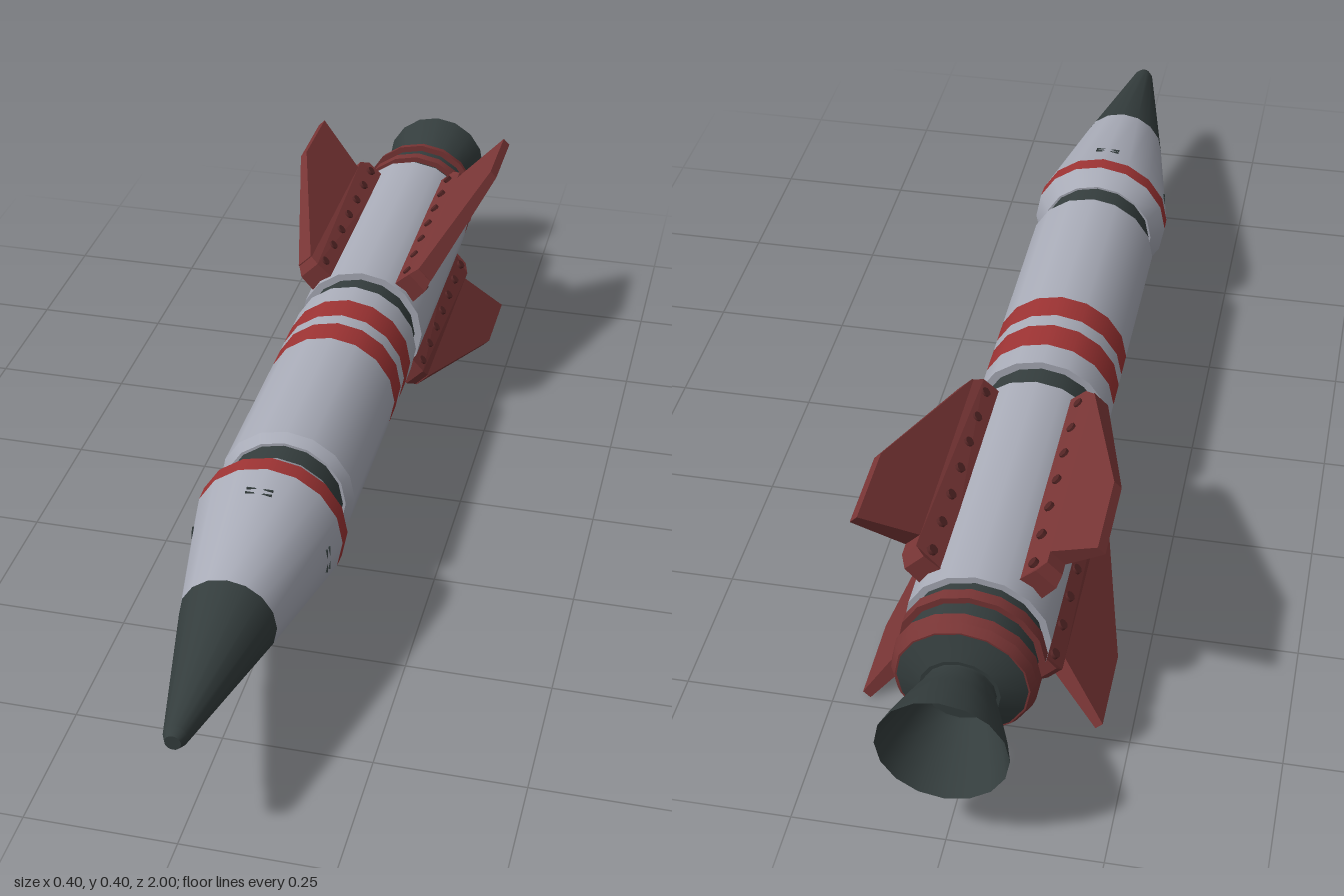
import * as THREE from 'three';

const paint = (name, color) => Object.assign(new THREE.MeshStandardMaterial({ color }), { name });

export function createModel() {
  const white = paint('paleGrey', 0xa9acb8);
  const dark = paint('charcoal', 0x343d3d);
  const red = paint('stripeRed', 0x9c3333);
  const maroon = paint('finMaroon', 0x783535);
  const bolt = paint('boltMaroon', 0x542525);
  const darkOpen = paint('nozzleCharcoal', 0x343d3d);
  darkOpen.side = THREE.DoubleSide;

  const model = new THREE.Group();
  model.name = 'rocket';
  const add = (parent, name, geo, mat) => {
    const m = new THREE.Mesh(geo, mat);
    m.name = name;
    parent.add(m);
    return m;
  };
  const rocket = new THREE.Group();
  rocket.name = 'rocketAssembly';
  rocket.position.y = 0.2015;
  model.add(rocket);

  // Body sections along z: name, front z, front radius, back z, back radius, material
  const sections = [
    ['noseTip', 1, 0.013, 0.985, 0.02, dark],
    ['noseCone', 0.985, 0.02, 0.7, 0.081, dark],
    ['noseShroud', 0.7, 0.081, 0.452, 0.129, white],
    ['noseStripe', 0.452, 0.129, 0.42, 0.13, red],
    ['shroudTaper', 0.42, 0.13, 0.385, 0.107, white],
    ['frontNeck', 0.385, 0.103, 0.34, 0.103, dark],
    ['bodyShoulder', 0.34, 0.108, 0.322, 0.12, white],
    ['upperBody', 0.322, 0.12, 0, 0.12, white],
    ['stripeFront', 0, 0.12, -0.055, 0.12, red],
    ['stripeGap', -0.055, 0.12, -0.085, 0.12, white],
    ['stripeBack', -0.085, 0.12, -0.143, 0.12, red],
    ['bodyEnd', -0.143, 0.12, -0.195, 0.12, white],
    ['rearNeck', -0.195, 0.106, -0.25, 0.106, dark],
    ['lowerBody', -0.25, 0.12, -0.745, 0.12, white],
    ['tailCore', -0.745, 0.108, -0.825, 0.108, dark],
    ['tailRing', -0.77, 0.119, -0.79, 0.119, maroon],
    ['tailCollar', -0.825, 0.12, -0.842, 0.117, maroon],
    ['tailCollarLip', -0.842, 0.117, -0.856, 0.108, maroon],
    ['engineDome', -0.856, 0.105, -0.875, 0.065, dark],
  ];
  for (const [name, z0, r0, z1, r1, mat] of sections) {
    const geo = new THREE.CylinderGeometry(r0, r1, z0 - z1, 16);
    geo.rotateX(Math.PI / 2).translate(0, 0, (z0 + z1) / 2);
    add(rocket, name, geo, mat);
  }

  // Hollow engine bell
  const bell = [[0.06, -0.868], [0.058, -0.88], [0.076, -0.92], [0.094, -0.965], [0.105, -1]]
    .map(([r, z]) => new THREE.Vector2(r, z));
  add(rocket, 'engineBell', new THREE.LatheGeometry(bell.reverse(), 16).rotateX(Math.PI / 2), darkOpen);

  // Small vent slots on the nose shroud
  for (let i = 0; i < 4; i++) {
    const vents = new THREE.Group();
    vents.name = 'ventSlots';
    vents.rotation.z = i * Math.PI / 2;
    for (const [z, r] of [[0.497, 0.119], [0.507, 0.117]]) {
      add(vents, 'ventSlot', new THREE.BoxGeometry(0.045, 0.004, 0.003).translate(0, r - 0.002, z), dark);
    }
    rocket.add(vents);
  }

  // Extrude an outline of (radius, z) points, thinning it by radius
  const taperedPlate = (outline, half) => {
    const shape = new THREE.Shape(outline.map(([r, z]) => new THREE.Vector2(r, z)));
    const geo = new THREE.ExtrudeGeometry(shape, { depth: 2, bevelEnabled: false });
    const p = geo.attributes.position;
    for (let i = 0; i < p.count; i++) p.setZ(i, (p.getZ(i) - 1) * half(p.getX(i)));
    geo.computeVertexNormals();
    return geo.rotateX(Math.PI / 2);
  };
  const finGeo = taperedPlate(
    [[0.13, -0.28], [0.168, -0.275], [0.277, -0.575], [0.277, -0.73], [0.165, -0.675], [0.13, -0.675]],
    r => THREE.MathUtils.mapLinear(r, 0.13, 0.277, 0.02, 0.0085));
  const rootGeo = taperedPlate(
    [[0.1, -0.262], [0.15, -0.262], [0.166, -0.275], [0.166, -0.7], [0.15, -0.715], [0.1, -0.715]],
    r => (r < 0.14 ? 0.026 : r < 0.16 ? 0.023 : 0.017));
  const boltGeo = new THREE.CylinderGeometry(0.009, 0.009, 0.055, 8);

  // Four diagonal fins with bolted root blocks
  for (let i = 0; i < 4; i++) {
    const fin = new THREE.Group();
    fin.name = 'fin';
    fin.rotation.z = Math.PI / 4 + i * Math.PI / 2;
    add(fin, 'finBlade', finGeo, maroon);
    add(fin, 'finRoot', rootGeo, maroon);
    for (let k = 0; k < 7; k++) add(fin, 'finBolt', boltGeo, bolt).position.set(0.139, 0, -0.289 - k * 0.067);
    rocket.add(fin);
  }
  return model;
}
